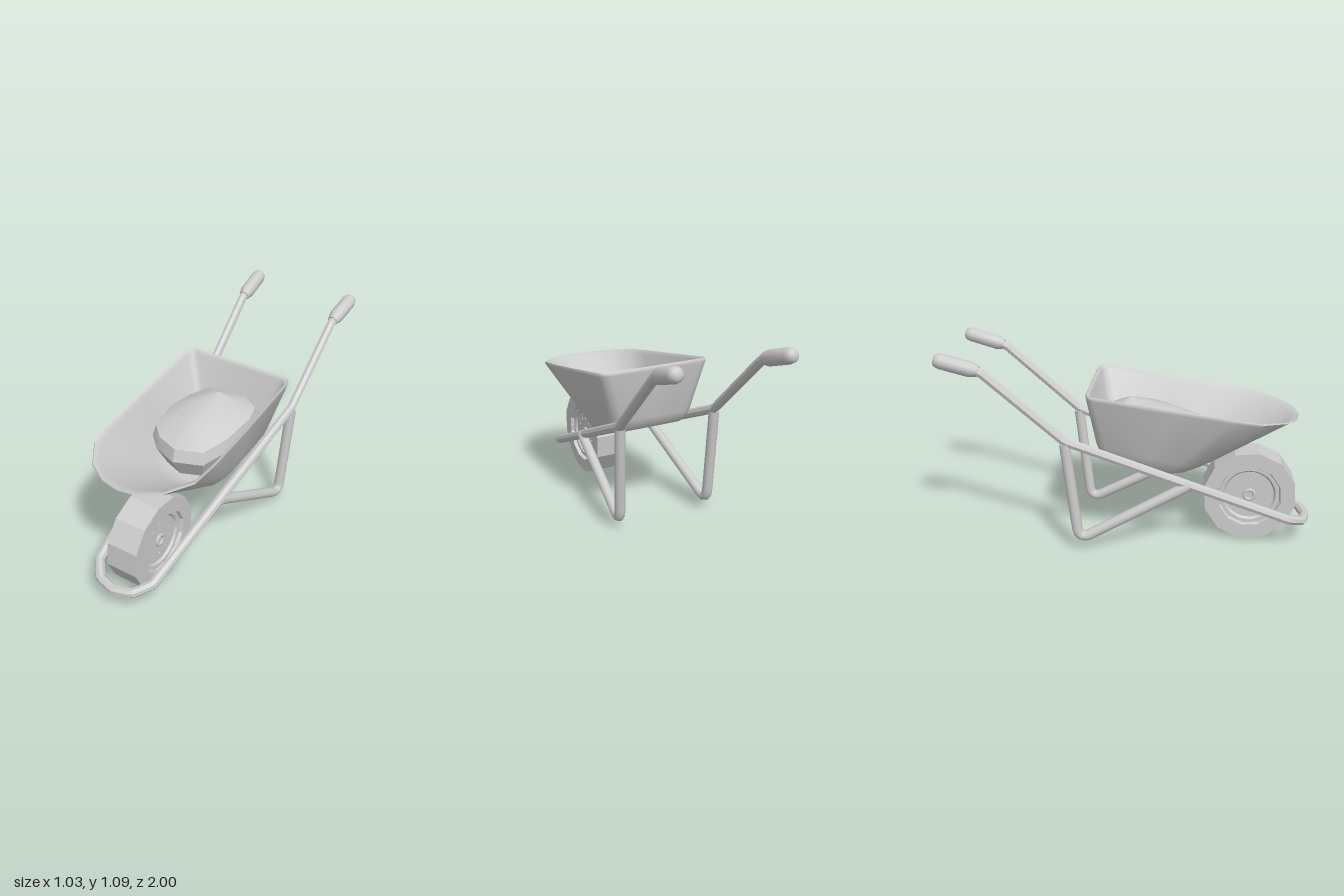
import * as THREE from 'three';
import { toCreasedNormals } from 'three/addons/utils/BufferGeometryUtils.js';

const V = (x, y, z) => new THREE.Vector3(x, y, z);
const smooth = new THREE.MeshStandardMaterial({ color: 0xcccccc });
const faceted = new THREE.MeshStandardMaterial({ color: 0xcccccc, flatShading: true });

function part(parent, name, geometry, material = smooth) {
  const mesh = new THREE.Mesh(geometry, material);
  mesh.name = name;
  parent.add(mesh);
  return mesh;
}

// Skin a list of equally long closed loops, lowest outer loop first
function loft(loops, crease) {
  const n = loops[0].length, index = [];
  for (let i = 0; i < loops.length - 1; i++) {
    for (let j = 0; j < n; j++) {
      const k = (j + 1) % n, a = i * n, b = a + n;
      index.push(a + j, b + j, b + k, a + j, b + k, a + k);
    }
  }
  const g = new THREE.BufferGeometry().setFromPoints(loops.flat());
  g.setIndex(index);
  return toCreasedNormals(g, crease);
}

// Full outline from the half that runs rear centre -> left side -> front centre
const mirrorOutline = half =>
  [...half, ...half.slice(1, -1).reverse().map(([x, z]) => [-x, z])];

// Polyline with rounded corners
function bentPath(pts, r) {
  const path = new THREE.CurvePath();
  let last = pts[0];
  for (let i = 1; i < pts.length - 1; i++) {
    const toward = q => pts[i].clone().add(q.clone().sub(pts[i]).setLength(r));
    const a = toward(pts[i - 1]), b = toward(pts[i + 1]);
    path.add(new THREE.LineCurve3(last, a));
    path.add(new THREE.QuadraticBezierCurve3(a, pts[i], b));
    last = b;
  }
  path.add(new THREE.LineCurve3(last, pts[pts.length - 1]));
  return path;
}

function buildTray(parent) {
  const rim = mirrorOutline([[0, -0.175], [0.28, -0.175], [0.312, -0.165], [0.327, -0.135], [0.327, 0.3],
    [0.32, 0.58], [0.302, 0.74], [0.21, 0.87], [0.1, 0.935], [0, 0.95]]);
  const floor = mirrorOutline([[0, -0.115], [0.17, -0.115], [0.205, -0.1], [0.222, -0.06], [0.205, 0.12],
    [0.19, 0.24], [0.165, 0.32], [0.115, 0.37], [0.055, 0.4], [0, 0.41]]);
  const rimY = z => 0.872 - (z + 0.17) * 0.138;
  const floorY = z => 0.4 + Math.max(0, 0.25 - z) * 0.26;
  // t: height from floor to rim, inset: shrink towards the middle, lift: raise
  const ring = (t, inset = 0, lift = 0) => rim.map(([x, z], i) => {
    const [fx, fz] = floor[i];
    const s = 1 - inset;
    return V(THREE.MathUtils.lerp(fx, x, t) * s,
      THREE.MathUtils.lerp(floorY(fz), rimY(z), t) + lift,
      (THREE.MathUtils.lerp(fz, z, t) - 0.25) * s + 0.25);
  });
  const centre = y => rim.map(() => V(0, y, 0.17));
  part(parent, 'tray', loft([
    centre(0.41), ring(0, 0.22, -0.002), ring(0.035, 0.08), ring(0.12, 0.015), ring(0.22), ring(0.95),
    ring(0.985, 0.002), ring(1, 0.018, 0.003), ring(1, 0.04), ring(0.96, 0.055),
    ring(0.2, 0.09), ring(0.08, 0.14), ring(0.03, 0.22, 0.01), centre(0.435),
  ], 0.9));
}

function buildLoad(parent) {
  // Lumpy, steep-sided mound that peaks towards the rear
  const outline = [[-0.03, -0.115], [0.1, -0.11], [0.19, -0.075], [0.225, 0.06], [0.205, 0.27], [0.145, 0.42],
    [0.005, 0.492], [-0.14, 0.43], [-0.222, 0.35], [-0.238, 0.176], [-0.218, 0.016], [-0.145, -0.095]];
  const ring = (s, y, cz, tilt) => outline.map(([x, z], i) => {
    const pz = cz + (z - 0.18) * s;
    return V(x * s, y + (0.18 - pz) * tilt + 0.01 * Math.sin(i * 2.3) * s, pz);
  });
  part(parent, 'load', loft([
    ring(0.78, 0.5, 0.18, 0.1), ring(1, 0.62, 0.18, 0.1), ring(0.93, 0.685, 0.18, 0.1),
    ring(0.5, 0.738, 0.13, 0.08), ring(0, 0.787, 0.04, 0),
  ], 0.5));
}

function buildFrame(parent) {
  // One continuous rail: handle, side, front hoop, side, handle
  const half = [V(0.3, 0.995, -0.76), V(0.298, 0.977, -0.705), V(0.287, 0.617, -0.285),
    V(0.168, 0.163, 0.91), V(0.1, 0.132, 0.99)];
  const mirrored = half.map(p => V(-p.x, p.y, p.z)).reverse();
  const rail = bentPath([...half, V(0, 0.125, 1.015), ...mirrored], 0.012);
  part(parent, 'rail', new THREE.TubeGeometry(rail, 200, 0.026, 8), faceted);

  for (const side of [1, -1]) {
    const leg = bentPath([V(0.286 * side, 0.605, -0.285), V(0.275 * side, 0.048, -0.218),
      V(0.228 * side, 0.37, 0.37)], 0.075);
    part(parent, side > 0 ? 'leftLeg' : 'rightLeg', new THREE.TubeGeometry(leg, 60, 0.029, 12));

    // Grip that flares quickly and ends in a rounded tip
    const start = V(0.298 * side, 0.987, -0.728), end = V(0.31 * side, 1.045, -0.942);
    const profile = [[0, -0.01], [0.029, -0.01], [0.041, 0.03], [0.041, 0.185], [0.036, 0.208], [0.024, 0.22], [0, 0.223]]
      .map(p => new THREE.Vector2(...p));
    const grip = part(parent, side > 0 ? 'leftGrip' : 'rightGrip',
      toCreasedNormals(new THREE.LatheGeometry(profile, 12), 0.75));
    grip.position.copy(start);
    grip.quaternion.setFromUnitVectors(V(0, 1, 0), end.sub(start).normalize());
  }
}

function buildWheel(parent) {
  const wheel = new THREE.Group();
  wheel.name = 'wheel';
  wheel.position.set(0.008, 0.253, 0.7);
  wheel.rotation.x = -0.35;
  parent.add(wheel);

  // Twelve-sided tyre with flat tread and side walls
  const tyre = [[0.165, -0.06], [0.175, -0.088], [0.255, -0.088], [0.255, 0.088], [0.175, 0.088], [0.165, 0.06]]
    .map(p => new THREE.Vector2(...p));
  part(wheel, 'tyre', new THREE.LatheGeometry(tyre, 12).rotateZ(Math.PI / 2), faceted);

  // Dished rim disc
  const disc = [[0, -0.055], [0.135, -0.055], [0.145, -0.068], [0.172, -0.068], [0.172, 0.068],
    [0.145, 0.068], [0.135, 0.055], [0, 0.055]].map(p => new THREE.Vector2(...p));
  part(wheel, 'rim', toCreasedNormals(new THREE.LatheGeometry(disc, 24).rotateZ(Math.PI / 2), 0.5));

  // Hub ring and bolts on both faces
  for (const side of [1, -1]) {
    const hub = part(wheel, 'hubRing', new THREE.TorusGeometry(0.028, 0.009, 8, 20).rotateY(Math.PI / 2));
    hub.position.x = 0.058 * side;
    for (let i = 0; i < 10; i++) {
      const a = i / 10 * Math.PI * 2;
      const bolt = part(wheel, 'bolt', new THREE.CylinderGeometry(0.007, 0.007, 0.008, 8).rotateZ(Math.PI / 2));
      bolt.position.set(0.056 * side, 0.095 * Math.sin(a), 0.095 * Math.cos(a));
    }
  }
}

export function createModel() {
  const model = new THREE.Group();
  model.name = 'wheelbarrow';
  const body = new THREE.Group();
  body.name = 'body';
  buildTray(body);
  buildLoad(body);
  buildFrame(body);
  buildWheel(body);
  // Parked askew, leaning slightly to its left
  body.rotation.set(0, -0.242, -0.035, 'YXZ');
  body.position.set(-0.071, 0, -0.017);
  model.add(body);
  return model;
}
